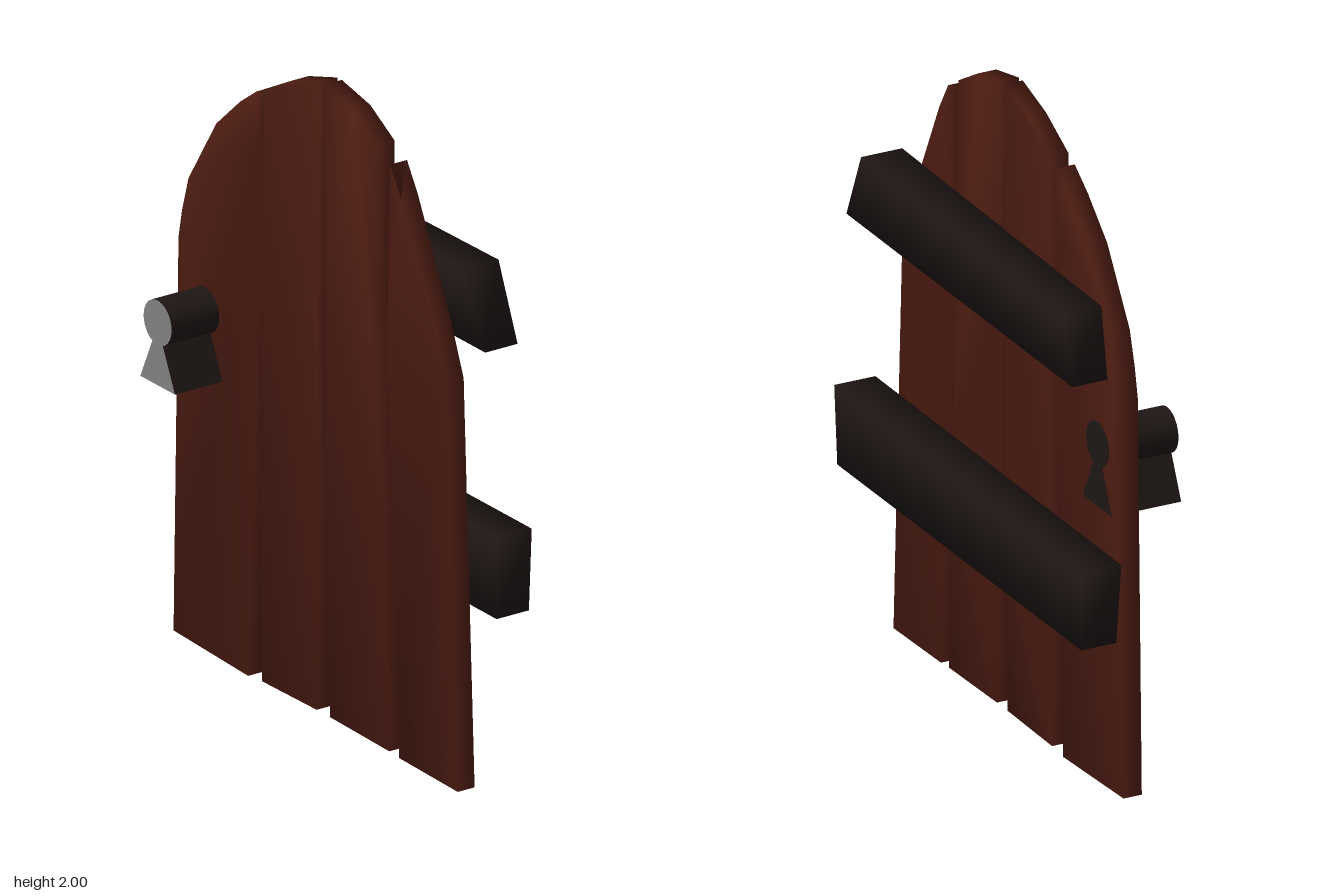
import * as THREE from 'three';
import { mergeVertices } from 'three/addons/utils/BufferGeometryUtils.js';

const plankMat = new THREE.MeshStandardMaterial({ color: 0x4c1c12 });
const darkMat = new THREE.MeshStandardMaterial({ color: 0x1e1614 });
const metalMat = new THREE.MeshStandardMaterial({ color: 0x808080 });

const toShape = (pts) => new THREE.Shape(pts.map(([x, y]) => new THREE.Vector2(x, y)));

// Board cut from an outline, with soft normals that lean outwards at the rim
function board(name, outline, z0, z1, material, taper = 0) {
  let geo = new THREE.ExtrudeGeometry(toShape(outline), { depth: z1 - z0, bevelEnabled: false });
  geo.translate(0, 0, z0);
  geo.deleteAttribute('uv');
  geo.deleteAttribute('normal');
  geo = mergeVertices(geo, 1e-4);
  geo.computeVertexNormals();
  geo.computeBoundingBox();
  const { min, max } = geo.boundingBox;
  const pos = geo.attributes.position, nor = geo.attributes.normal;
  const mid = (z0 + z1) / 2;
  const n = new THREE.Vector3();
  for (let i = 0; i < pos.count; i++) {
    const side = Math.sign(pos.getZ(i) - mid);
    n.set(nor.getX(i), nor.getY(i), 0).normalize();
    n.z = side;
    n.normalize();
    nor.setXYZ(i, n.x, n.y, n.z);
    // thinner towards the lower edge
    const low = (max.y - pos.getY(i)) / (max.y - min.y);
    pos.setZ(i, pos.getZ(i) - side * taper * low);
  }
  const mesh = new THREE.Mesh(geo, material);
  mesh.name = name;
  return mesh;
}

export function createModel() {
  const door = new THREE.Group();
  door.name = 'door';

  // Four crooked planks under an arched top, listed counter-clockwise
  const planks = [
    [[-0.715, 0.02], [-0.34, 0.005], [-0.29, 1.26], [-0.285, 1.45], [-0.29, 1.72], [-0.298, 1.86],
      [-0.38, 1.8], [-0.5, 1.69], [-0.64, 1.47], [-0.672, 1.36], [-0.69, 1.27]],
    [[-0.27, 0.012], [0.005, 0.016], [0.01, 0.6], [0.02, 1.5], [0.025, 2],
      [-0.12, 1.955], [-0.26, 1.88], [-0.265, 1.4], [-0.268, 0.7]],
    [[0.072, 0.016], [0.37, 0.01], [0.345, 0.75], [0.32, 1.4], [0.312, 1.9],
      [0.19, 1.97], [0.047, 2], [0.053, 1.4], [0.06, 0.7]],
    [[0.42, 0.006], [0.715, 0], [0.66, 1.27], [0.6, 1.42], [0.43, 1.77],
      [0.375, 1.86], [0.36, 1.3], [0.39, 0.6]],
  ];
  planks.forEach((p, i) => door.add(board(`plank${i + 1}`, p, -0.03, 0.03, plankMat)));

  // Two cross bars behind the planks
  door.add(board('upperBar',
    [[-0.7, 1.355], [0.705, 1.355], [0.595, 1.58], [-0.645, 1.565]], -0.2, -0.065, darkMat, 0.01));
  door.add(board('lowerBar',
    [[-0.755, 0.54], [0.762, 0.535], [0.762, 0.79], [-0.768, 0.79]], -0.2, -0.065, darkMat, 0.01));

  // Keyhole-shaped lock running through the first plank, with a metal front
  const keyhole = new THREE.Shape();
  keyhole.moveTo(-0.642, 0.888);
  keyhole.lineTo(-0.468, 0.888);
  keyhole.absarc(-0.555, 1.085, 0.07, THREE.MathUtils.degToRad(-68), THREE.MathUtils.degToRad(248), false);
  keyhole.closePath();

  const body = new THREE.Mesh(
    new THREE.ExtrudeGeometry(keyhole, { depth: 0.23, bevelEnabled: false, curveSegments: 24 }), darkMat);
  body.position.z = -0.032;
  body.name = 'lockBody';
  const plate = new THREE.Mesh(new THREE.ShapeGeometry(keyhole, 24), metalMat);
  plate.position.z = 0.2;
  plate.name = 'lockFace';
  door.add(body, plate);

  return door;
}
